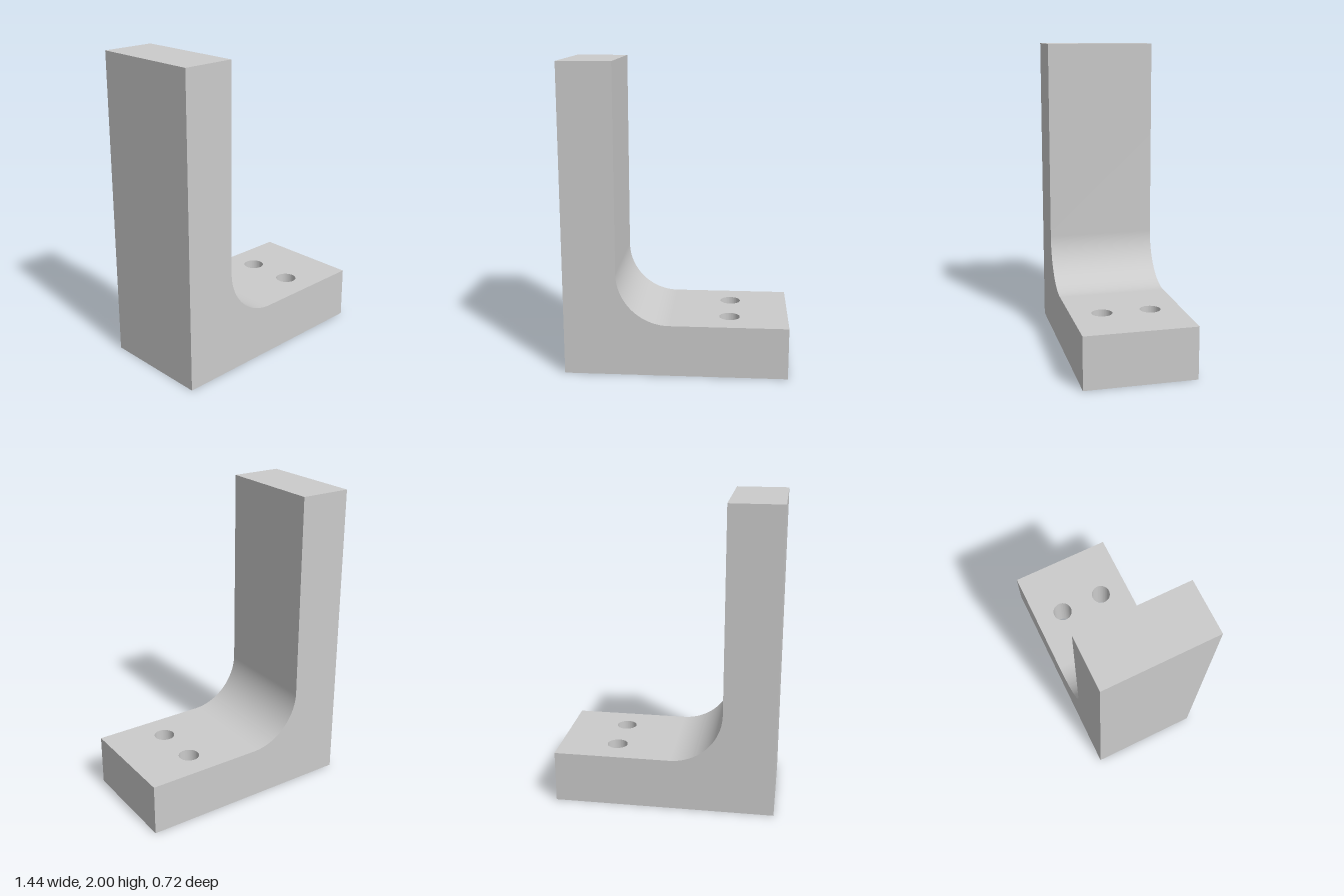
import * as THREE from 'three';
import { mergeGeometries, toCreasedNormals } from 'three/addons/utils/BufferGeometryUtils.js';

const HALF_X = 0.72, HALF_Z = 0.36, HEIGHT = 2, THICK = 0.34;
const FILLET = 0.34, WALL_X = -HALF_X + THICK, JOIN_X = WALL_X + FILLET;
const HOLE = { x: 0.34, z: 0.158, r: 0.067 };

// Drops the triangles on the hidden plane where the two halves meet.
function openAtJoin(geometry) {
  const p = geometry.getAttribute('position');
  const kept = [];
  for (let i = 0; i < p.count; i += 3) {
    const onJoin = [0, 1, 2].every((k) => Math.abs(p.getX(i + k) - JOIN_X) < 1e-4);
    if (onJoin) continue;
    for (let k = 0; k < 3; k++) kept.push(p.getX(i + k), p.getY(i + k), p.getZ(i + k));
  }
  const out = new THREE.BufferGeometry();
  out.setAttribute('position', new THREE.Float32BufferAttribute(kept, 3));
  return out;
}

// Upright wall with the rounded inner corner, extruded along z.
function uprightGeometry() {
  const s = new THREE.Shape();
  s.moveTo(-HALF_X, 0);
  s.lineTo(JOIN_X, 0);
  s.lineTo(JOIN_X, THICK);
  s.absarc(JOIN_X, THICK + FILLET, FILLET, Math.PI * 1.5, Math.PI, true);
  s.lineTo(WALL_X, HEIGHT);
  s.lineTo(-HALF_X, HEIGHT);
  s.closePath();
  const g = new THREE.ExtrudeGeometry(s, { depth: HALF_Z * 2, bevelEnabled: false, curveSegments: 24 });
  return g.translate(0, 0, -HALF_Z);
}

// Foot plate with two bolt holes, extruded upward.
function footGeometry() {
  const s = new THREE.Shape();
  s.moveTo(JOIN_X, -HALF_Z);
  s.lineTo(HALF_X, -HALF_Z);
  s.lineTo(HALF_X, HALF_Z);
  s.lineTo(JOIN_X, HALF_Z);
  s.closePath();
  for (const side of [-1, 1]) {
    s.holes.push(new THREE.Path().absarc(HOLE.x, side * HOLE.z, HOLE.r, 0, Math.PI * 2, true));
  }
  const g = new THREE.ExtrudeGeometry(s, { depth: THICK, bevelEnabled: false, curveSegments: 32 });
  return g.rotateX(-Math.PI / 2);
}

export function createModel() {
  const group = new THREE.Group();
  group.name = 'angleBracket';
  const shell = mergeGeometries([uprightGeometry(), footGeometry()].map(openAtJoin));
  const bracket = new THREE.Mesh(
    toCreasedNormals(shell, Math.PI / 6),
    new THREE.MeshStandardMaterial({ color: 0xcccccc })
  );
  bracket.name = 'bracketBody';
  group.add(bracket);
  return group;
}
